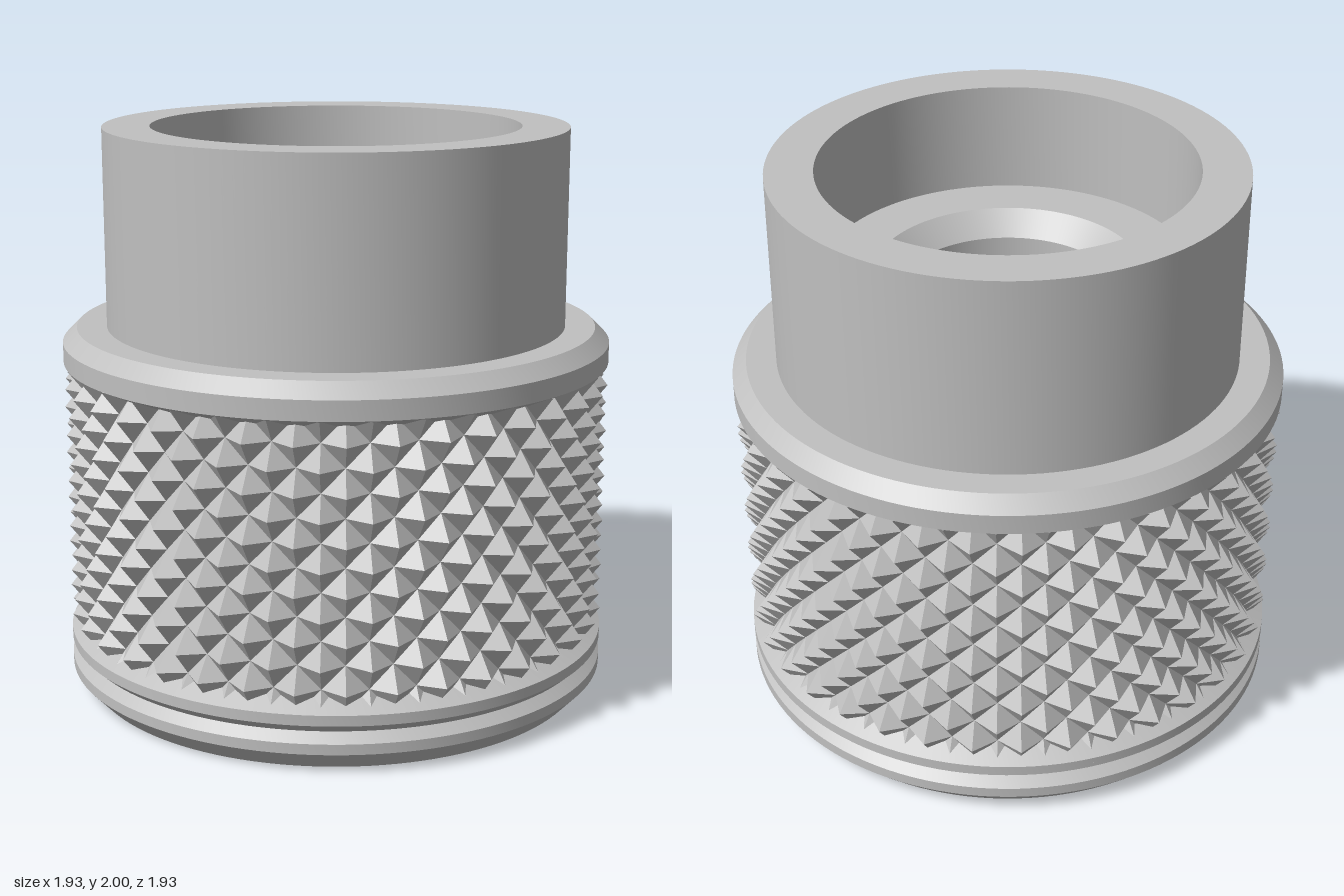
import * as THREE from 'three';
import { toCreasedNormals } from 'three/addons/utils/BufferGeometryUtils.js';

const SEGMENTS = 128;
const RADIUS = 0.965;
const steel = new THREE.MeshStandardMaterial({ color: 0xc0c0c0 });
steel.name = 'steel';

// Turned part: a profile of [radius, y] points, listed upwards on the outside
function turned(name, profile) {
  const points = profile.map(([r, y]) => new THREE.Vector2(r, y));
  const geometry = toCreasedNormals(new THREE.LatheGeometry(points, SEGMENTS), 0.4);
  const mesh = new THREE.Mesh(geometry, steel);
  mesh.name = name;
  return mesh;
}

// Diamond knurl: alternate grid points are tips and valleys, and each cell
// is split along the groove that runs between its two valleys
function knurl(name, columns, rows, bottom, pitch, depth) {
  const isTip = (i, j) => (i + j) % 2 === 0;
  const point = (i, j) => {
    const angle = (i / columns) * Math.PI * 2;
    const r = isTip(i, j + 1) ? RADIUS : RADIUS - depth;
    return [r * Math.sin(angle), bottom + j * pitch, r * Math.cos(angle)];
  };
  const positions = [];
  for (let i = 0; i < columns; i++) {
    for (let j = 0; j < rows; j++) {
      const a = point(i, j), b = point(i + 1, j);
      const c = point(i + 1, j + 1), d = point(i, j + 1);
      const corners = isTip(i, j + 1) ? [a, b, d, b, c, d] : [a, b, c, a, c, d];
      corners.forEach((p) => positions.push(...p));
    }
  }
  const geometry = new THREE.BufferGeometry();
  geometry.setAttribute('position', new THREE.Float32BufferAttribute(positions, 3));
  geometry.computeVertexNormals();
  const mesh = new THREE.Mesh(geometry, steel);
  mesh.name = name;
  return mesh;
}

export function createModel() {
  const model = new THREE.Group();
  model.name = 'knurledInsert';

  // Base with chamfered foot and V groove
  model.add(turned('base', [
    [0, 0], [0.9, 0], [RADIUS, 0.07], [RADIUS, 0.107], [0.93, 0.138],
    [RADIUS, 0.17], [RADIUS, 0.207], [0.89, 0.25],
  ]));

  // Recessed core behind the knurl
  model.add(turned('core', [[0.89, 0.25], [0.89, 1.15]]));

  // Gripping band
  model.add(knurl('knurl', 72, 12, 0.187, 0.083, 0.065));

  // Chamfered collar above the knurl
  model.add(turned('collar', [
    [0.89, 1.15], [RADIUS, 1.186], [RADIUS, 1.255], [0.915, 1.305], [0.81, 1.305],
  ]));

  // Neck with wide bore, ledge and countersunk blind hole
  model.add(turned('neck', [
    [0.81, 1.305], [0.81, 2], [0.645, 2], [0.645, 1.61],
    [0.46, 1.61], [0.38, 1.53], [0.38, 0.4], [0, 0.4],
  ]));

  return model;
}
